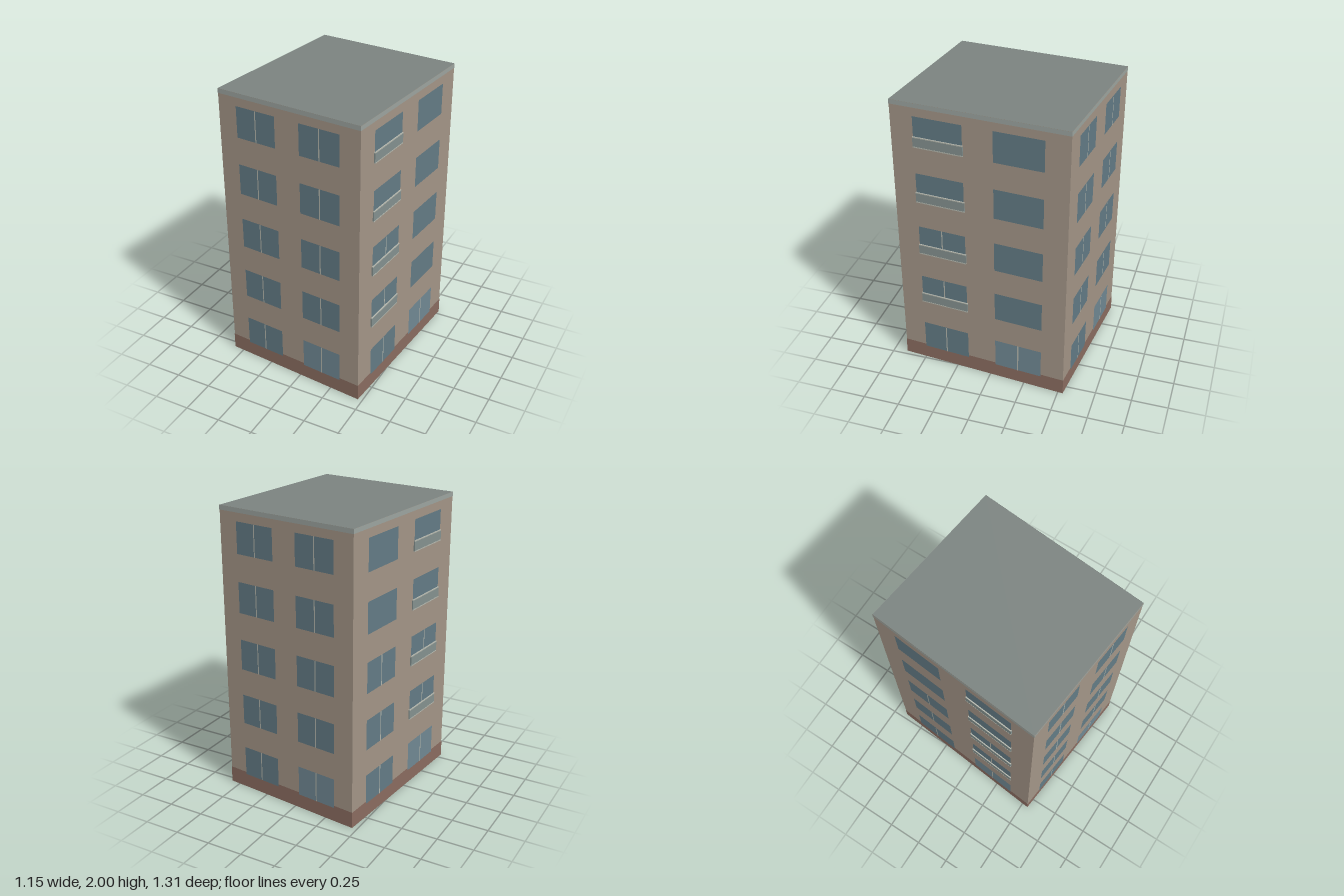
import * as THREE from 'three';

const paint = (color) => new THREE.MeshStandardMaterial({ color, side: THREE.DoubleSide });
const mats = {
  wall: paint(0xa39587), plinth: paint(0x8a6c60), trim: paint(0x9ca49f), roof: paint(0x7b8380),
  glass: paint(0x637b85), paleGlass: paint(0x708893), bar: paint(0xb3b6ac), balcony: paint(0x84918f),
};

// Footprint corners [x, z]: front left, front right, back right, back left
const corners = [[-0.573, 0.545], [0.467, 0.651], [0.569, -0.534], [-0.464, -0.653]];

const HEIGHT = 2;
const FLOORS = 5;
const COLUMNS = [[0.132, 0.412], [0.583, 0.864]]; // window spans as fractions of the wall

// Per wall: name, balcony column (or -1), and storeys with a central bar in each column
const ALL = [0, 1, 2, 3, 4];
const walls = [
  { name: 'frontWall', balcony: -1, bars: [ALL, ALL] },
  { name: 'rightWall', balcony: 0, bars: [[0, 1, 2], [0]] },
  { name: 'backWall', balcony: -1, bars: [ALL, ALL] },
  { name: 'leftWall', balcony: 1, bars: [[0, 1, 2], [0, 1, 2]] },
];

// Flat rectangle in a wall's plane, moved outward by z
function panel(name, mat, x0, x1, y0, y1, z) {
  const mesh = new THREE.Mesh(new THREE.PlaneGeometry(x1 - x0, y1 - y0), mat);
  mesh.position.set((x0 + x1) / 2, (y0 + y1) / 2, z);
  mesh.name = name;
  return mesh;
}

// Box standing on the wall surface
function slab(name, mat, x0, x1, y0, y1, depth) {
  const mesh = new THREE.Mesh(new THREE.BoxGeometry(x1 - x0, y1 - y0, depth), mat);
  mesh.position.set((x0 + x1) / 2, (y0 + y1) / 2, depth / 2);
  mesh.name = name;
  return mesh;
}

// Shallow balcony: parapet with a pale rail and sill
function makeBalcony(x0, x1, y) {
  const g = new THREE.Group();
  g.name = 'balcony';
  g.add(slab('balconySill', mats.bar, x0, x1, y, y + 0.007, 0.01));
  g.add(slab('balconyParapet', mats.balcony, x0, x1, y + 0.007, y + 0.068, 0.009));
  g.add(slab('balconyRail', mats.bar, x0, x1, y + 0.068, y + 0.075, 0.01));
  return g;
}

// Window with an optional central bar
function makeWindow(x0, x1, y, glass, hasBar) {
  const g = new THREE.Group();
  g.name = 'window';
  g.add(panel('windowPane', glass, x0, x1, y, y + 0.213, 0.003));
  const mid = (x0 + x1) / 2;
  if (hasBar) g.add(panel('windowBar', mats.bar, mid - 0.004, mid + 0.004, y, y + 0.213, 0.0045));
  return g;
}

// Wall in its own frame: x runs along the wall, z points outward
function makeWall(spec, length) {
  const g = new THREE.Group();
  g.name = spec.name;
  g.add(panel('wallFace', mats.wall, 0, length, 0, HEIGHT, 0));
  g.add(panel('plinthBand', mats.plinth, -0.0015, length + 0.0015, 0, 0.115, 0.0015));
  g.add(panel('cornice', mats.trim, -0.0015, length + 0.0015, 1.97, HEIGHT, 0.0015));
  COLUMNS.forEach(([t0, t1], col) => {
    for (let floor = 0; floor < FLOORS; floor++) {
      const y = 0.1 + floor * 0.4;
      const glass = floor === 0 && col === 1 ? mats.paleGlass : mats.glass;
      g.add(makeWindow(t0 * length, t1 * length, y, glass, spec.bars[col].includes(floor)));
      if (floor > 0 && col === spec.balcony) {
        g.add(makeBalcony(t0 * length - 0.004, t1 * length + 0.004, y));
      }
    }
  });
  return g;
}

export function createModel() {
  const model = new THREE.Group();
  model.name = 'apartmentBlock';

  // Four walls around the footprint, open underneath
  walls.forEach((spec, i) => {
    const [ax, az] = corners[i];
    const [bx, bz] = corners[(i + 1) % 4];
    const wall = makeWall(spec, Math.hypot(bx - ax, bz - az));
    wall.position.set(ax, 0, az);
    wall.rotation.y = Math.atan2(az - bz, bx - ax);
    model.add(wall);
  });

  // Flat roof
  const outline = new THREE.Shape(corners.map(([x, z]) => new THREE.Vector2(x, -z)));
  const roof = new THREE.Mesh(new THREE.ShapeGeometry(outline).rotateX(-Math.PI / 2), mats.roof);
  roof.position.y = HEIGHT;
  roof.name = 'roof';
  model.add(roof);
  return model;
}
